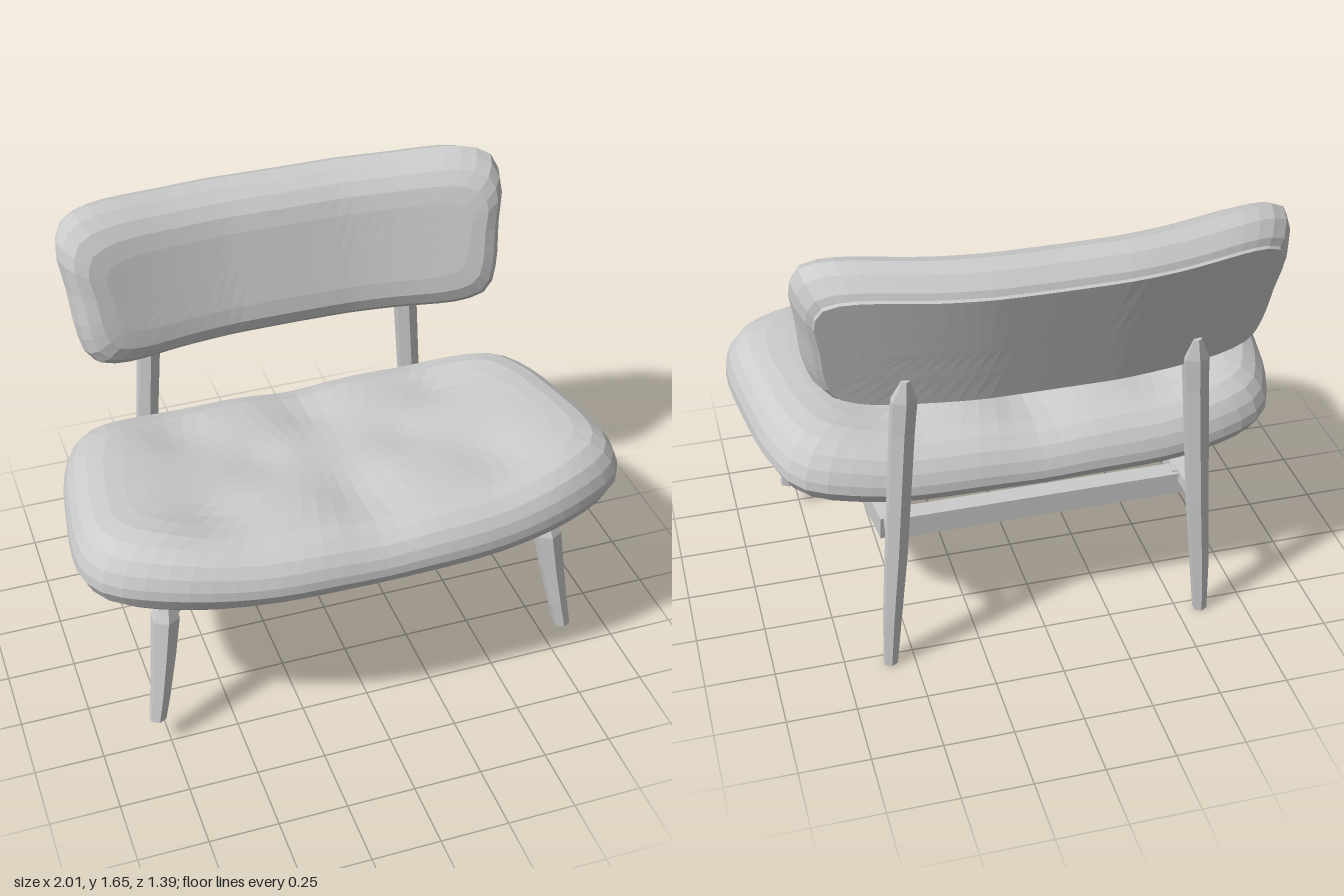
import * as THREE from 'three';

const material = new THREE.MeshStandardMaterial({ color: 0xcccccc, flatShading: true });

function addMesh(parent, geometry, name) {
  const mesh = new THREE.Mesh(geometry, material);
  mesh.name = name;
  parent.add(mesh);
  return mesh;
}

// Closed smooth outline from its +x half, mirrored to -x
function outlineFrom(half, count) {
  const mirrored = half.slice(1, -1).reverse().map(([x, y]) => [-x, y]);
  const points = [...half, ...mirrored].map(([x, y]) => new THREE.Vector3(x, y, 0));
  return new THREE.CatmullRomCurve3(points, true, 'centripetal').getSpacedPoints(count).slice(0, count);
}

// Cushion skin: rings are [inset from outline, level 0..1]; place() maps to space.
// An inset of halfV closes the ring to a line along the middle.
function cushion(outline, rings, centreV, halfU, halfV, place) {
  const n = outline.length, positions = [], index = [];
  rings.forEach(([inset, level]) => outline.forEach((p) => {
    const u = p.x * (1 - inset / halfU);
    const v = centreV + (p.y - centreV) * (1 - inset / halfV);
    positions.push(...place(u, v, level));
  }));
  for (let i = 0; i < rings.length - 1; i++) {
    for (let j = 0; j < n; j++) {
      const a = i * n + j, b = i * n + (j + 1) % n;
      index.push(a, b, b + n, a, b + n, a + n);
    }
  }
  const geometry = new THREE.BufferGeometry();
  geometry.setAttribute('position', new THREE.Float32BufferAttribute(positions, 3));
  geometry.setIndex(index);
  geometry.computeVertexNormals();
  return geometry;
}

// Faceted leg: stations are [x, y, z, radius], top to bottom
function legGeometry(stations) {
  const geometry = new THREE.CylinderGeometry(1, 1, 1, 6, stations.length - 1);
  const pos = geometry.attributes.position;
  for (let i = 0; i < pos.count; i++) {
    const [x, y, z, r] = stations[Math.round((0.5 - pos.getY(i)) * (stations.length - 1))];
    pos.setXYZ(i, x + pos.getX(i) * r, y, z + pos.getZ(i) * r);
  }
  geometry.computeVertexNormals();
  return geometry;
}

// Square rail between two points
function addRail(parent, from, to, width, height, name) {
  const a = new THREE.Vector3(...from), b = new THREE.Vector3(...to);
  const rail = addMesh(parent, new THREE.BoxGeometry(width, height, a.distanceTo(b)), name);
  rail.position.copy(a).add(b).multiplyScalar(0.5);
  rail.lookAt(b);
}

function createSeat() {
  const outline = outlineFrom([[0, 0.69], [0.4, 0.68], [0.75, 0.6], [0.95, 0.48], [1, 0.36],
    [0.97, 0], [0.93, -0.2], [0.85, -0.36], [0.6, -0.445], [0, -0.465]], 72);
  const rings = [[0.5775, 0], [0.3, 0], [0.13, 0], [0.075, 0.05], [0.025, 0.23], [0, 0.42], [0.003, 0.55], [0.018, 0.7],
    [0.045, 0.84], [0.09, 0.95], [0.15, 0.995], [0.22, 1], [0.29, 1], [0.35, 1], [0.41, 1], [0.47, 1], [0.53, 1], [0.5775, 1]];
  // Tufting dimples
  const tufts = [[-0.53, 0.36], [0, 0.38], [0.53, 0.36], [-0.5, -0.18], [0, -0.2], [0.5, -0.18], [-0.27, 0.08], [0.27, 0.08]];
  const place = (x, z, level) => {
    const droop = 0.05 * Math.max(0, (-z - 0.15) / 0.31) ** 2;
    const bottom = 0.618 + 0.025 * z - droop;
    const sag = 0.035 * (1 - THREE.MathUtils.smoothstep(Math.abs(x), 0.4, 0.8)) + 0.02 * Math.exp(-x * x / 0.02);
    let top = 0.892 + 0.075 * Math.min(z, 0.4) - sag - droop * 0.35;
    for (const [tx, tz] of tufts) top -= 0.02 * Math.exp(-((x - tx) ** 2 + (z - tz) ** 2) / 0.015);
    return [x, bottom + (top - bottom) * level, z];
  };
  return cushion(outline, rings, 0.1125, 1, 0.5775, place);
}

function createBackrest() {
  const outline = outlineFrom([[0, 1.08], [0.4, 1.08], [0.68, 1.09], [0.77, 1.13], [0.805, 1.22], [0.825, 1.4],
    [0.842, 1.54], [0.81, 1.62], [0.72, 1.65], [0.4, 1.64], [0, 1.635]], 72);
  // Flat rear panel with a thin edge, then a rounded pad
  const rings = [[0.285, 0], [0.18, 0], [0.055, 0], [0.053, 0.04], [0.035, 0.09], [0.01, 0.28], [0, 0.5],
    [0.015, 0.7], [0.045, 0.87], [0.09, 0.97], [0.15, 1], [0.22, 1], [0.285, 1]];
  const place = (x, y, level) => {
    // The panel sits lower than the pad, whose top rolls over it
    const drop = 0.04 * Math.max(0, 1 - level * 2.5);
    const bend = 0.2 * Math.max(0, Math.abs(x) - 0.2) ** 1.5 + 0.02 * x * x;
    return [x, y - drop, -0.575 - 0.28 * (y - 1.15) + bend + 0.25 * level];
  };
  return cushion(outline, rings, 1.365, 0.84, 0.285, place);
}

export function createModel() {
  const chair = new THREE.Group();
  chair.name = 'loungeChair';
  addMesh(chair, createSeat(), 'seatCushion');
  addMesh(chair, createBackrest(), 'backrest');

  // Legs and side rails on both sides
  for (const s of [-1, 1]) {
    const side = s > 0 ? 'left' : 'right';
    addMesh(chair, legGeometry([[s * 0.5, 1.21, -0.565, 0.016], [s * 0.505, 1.13, -0.545, 0.048],
      [s * 0.515, 1.0, -0.54, 0.046], [s * 0.55, 0.5, -0.54, 0.042], [s * 0.575, 0.2, -0.54, 0.035],
      [s * 0.588, 0.0, -0.54, 0.027]]), side + 'RearLeg');
    addMesh(chair, legGeometry([[s * 0.71, 0.63, 0.405, 0.022], [s * 0.725, 0.53, 0.42, 0.053],
      [s * 0.745, 0.38, 0.44, 0.047], [s * 0.77, 0.22, 0.465, 0.038],
      [s * 0.79, 0.11, 0.48, 0.032]]), side + 'FrontLeg');
    addRail(chair, [s * 0.63, 0.57, 0.33], [s * 0.54, 0.505, -0.41], 0.08, 0.09, side + 'SideRail');
    addRail(chair, [s * 0.54, 0.535, -0.38], [s * 0.55, 0.525, -0.53], 0.05, 0.045, side + 'RearPeg');
    addRail(chair, [s * 0.62, 0.57, 0.31], [s * 0.71, 0.565, 0.41], 0.06, 0.08, side + 'FrontPeg');
  }
  addRail(chair, [-0.66, 0.568, 0.32], [0.66, 0.568, 0.32], 0.07, 0.09, 'frontRail');
  addRail(chair, [-0.55, 0.502, -0.39], [0.55, 0.502, -0.39], 0.07, 0.085, 'rearRail');
  return chair;
}
